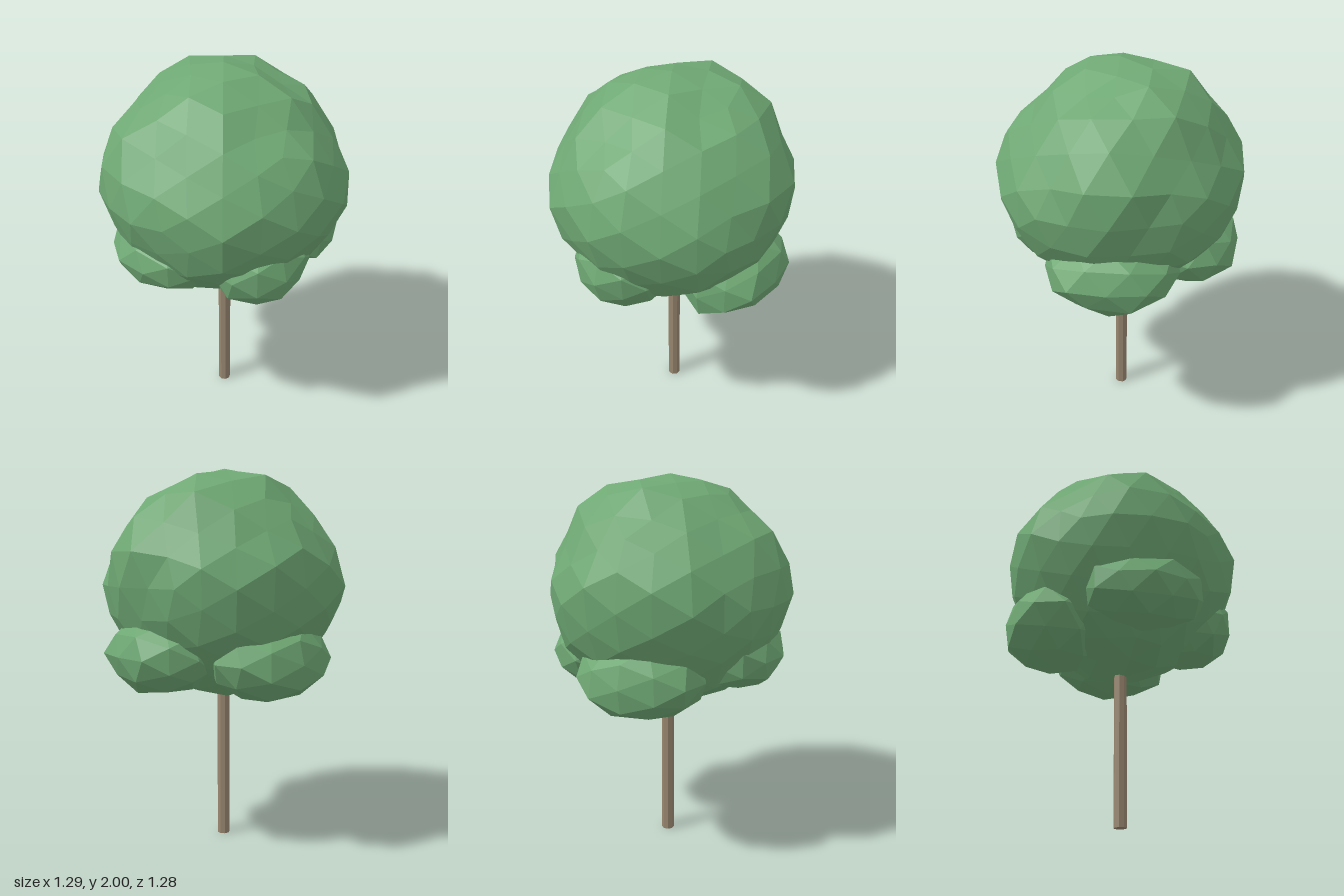
import * as THREE from 'three';

// Repeatable noise in -1..1 from a direction, equal for coincident corners
function noise(v, seed) {
  const r = (n) => Math.round(n * 1000) / 1000;
  const s = Math.sin(r(v.x) * 127.1 + r(v.y) * 311.7 + r(v.z) * 74.7 + seed * 19.3) * 437.585;
  return (s - Math.floor(s)) * 2 - 1;
}

// Faceted ball whose corners are moved to radiusAt(direction)
function facetedBall(detail, radiusAt) {
  const geo = new THREE.IcosahedronGeometry(1, detail);
  const pos = geo.attributes.position;
  const v = new THREE.Vector3();
  for (let i = 0; i < pos.count; i++) {
    v.fromBufferAttribute(pos, i).normalize();
    v.multiplyScalar(radiusAt(v));
    pos.setXYZ(i, v.x, v.y, v.z);
  }
  geo.computeVertexNormals();
  return geo;
}

// Bumps and hollows the crown surface passes near, measured from its centre
const crownGuides = [
  // top
  [0, 0.605, 0], [0.2, 0.53, 0], [-0.17, 0.53, 0.24], [0, 0.53, -0.37], [0.35, 0.5, -0.25],
  // shoulder
  [0, 0.31, 0.55], [0, 0.37, 0.4], [-0.33, 0.49, 0], [-0.57, 0.33, 0], [-0.4, 0.32, 0.25],
  [0.48, 0.42, 0], [0.65, 0.16, 0], [0, 0.18, -0.63], [0, 0.38, -0.46], [0.4, 0.2, 0.4],
  // middle
  [-0.66, 0, 0], [-0.62, 0, -0.19], [-0.49, 0, -0.4], [-0.34, 0, -0.57], [0, 0, -0.655],
  [0.3, 0, -0.59], [0.46, 0, -0.45], [0.54, 0, -0.34], [0.62, 0, 0], [0.61, 0, 0.16],
  [0.48, 0, 0.46], [0.2, 0, 0.62], [0, 0, 0.65], [-0.34, 0, 0.55], [-0.45, 0, 0.43], [-0.63, 0, 0.16],
  // just below the middle
  [0.46, -0.13, -0.43], [-0.43, -0.13, -0.44], [-0.37, -0.13, 0.5], [0.44, -0.13, 0.43],
  [-0.6, -0.17, 0], [0, -0.17, 0.58], [0, -0.17, -0.6], [0.59, -0.17, 0],
].map((p) => {
  const point = new THREE.Vector3(...p);
  return { r: point.length(), dir: point.normalize() };
});

function crownRadius(v) {
  if (Math.abs(v.y) > 0.999) return 0.605;
  let sum = 0.595 * 0.1;
  let total = 0.1;
  for (const g of crownGuides) {
    const w = Math.exp(50 * (g.dir.dot(v) - 1));
    sum += w * g.r;
    total += w;
  }
  return sum / total + 0.014 * noise(v, 1);
}

export function createModel() {
  const leaf = new THREE.MeshStandardMaterial({ color: 0x6fa874 });
  leaf.name = 'leaf green';
  const bark = new THREE.MeshStandardMaterial({ color: 0x98866f });
  bark.name = 'bark brown';

  const tree = new THREE.Group();
  tree.name = 'tree';
  const add = (name, geo, mat, x, y, z) => {
    const mesh = new THREE.Mesh(geo, mat);
    mesh.name = name;
    mesh.position.set(x, y, z);
    tree.add(mesh);
  };

  // Slim eight-sided trunk, running up into the leaves
  const trunkGeo = new THREE.CylinderGeometry(0.034, 0.034, 0.84, 8).toNonIndexed();
  trunkGeo.rotateY(Math.PI / 8);
  trunkGeo.computeVertexNormals();
  add('trunk', trunkGeo, bark, 0.01, 0.42, -0.008);

  // Main crown
  add('crown', facetedBall(3, crownRadius), leaf, 0, 1.395, 0);

  // Lower leaf clumps on the four sides: name, centre, half sizes
  const clumps = [
    ['leftClump', [0.4, 1.05, 0.01], [0.25, 0.21, 0.34]],
    ['rightClump', [-0.36, 1.1, 0.02], [0.25, 0.19, 0.32]],
    ['frontClump', [-0.02, 1.1, 0.36], [0.26, 0.22, 0.24]],
    ['backClump', [0, 1.03, -0.37], [0.33, 0.22, 0.27]],
  ];
  clumps.forEach(([name, centre, size], i) => {
    const geo = facetedBall(1, (v) => 1.02 + 0.05 * noise(v, i + 2));
    geo.scale(...size);
    geo.computeVertexNormals();
    add(name, geo, leaf, ...centre);
  });

  return tree;
}
